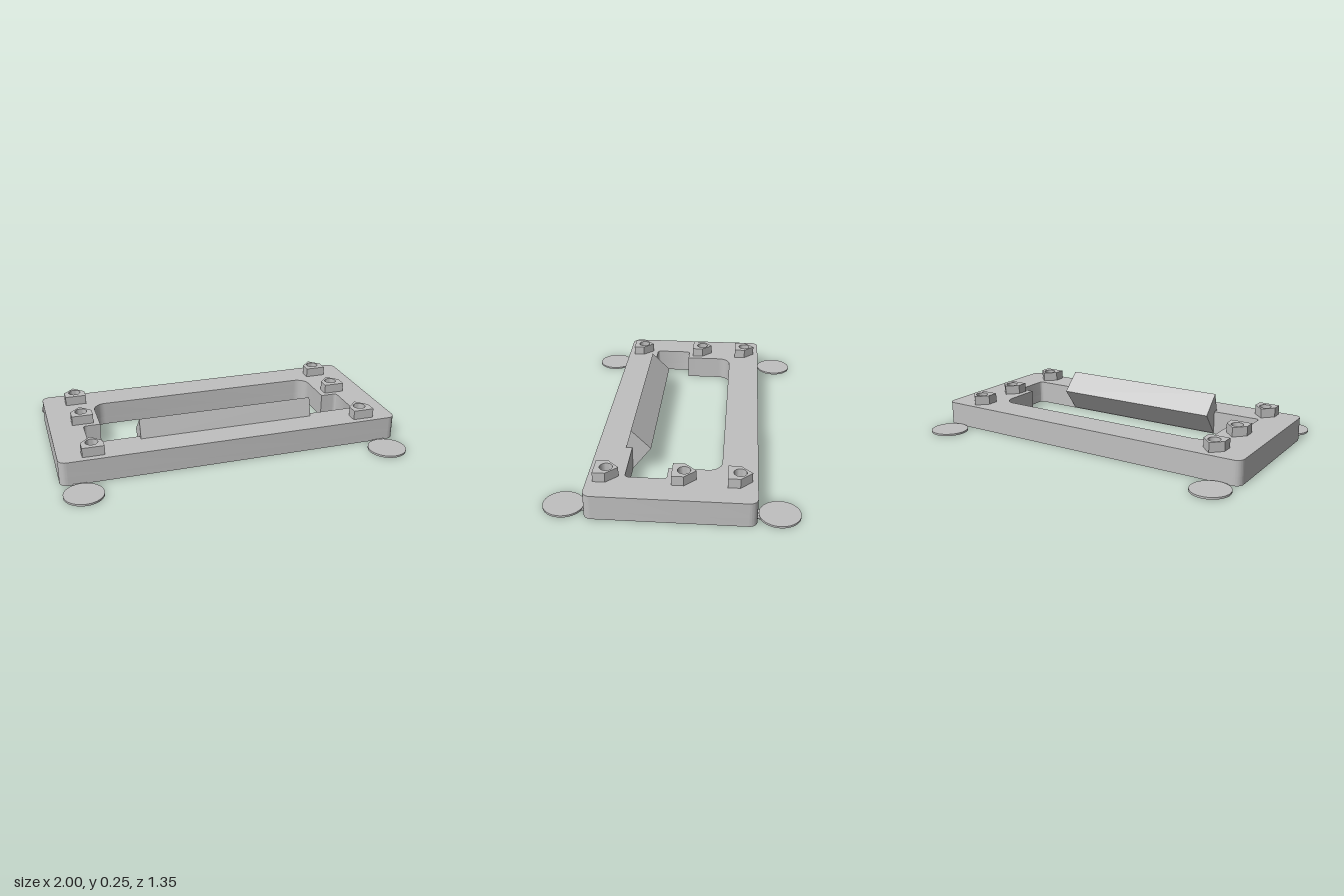
import * as THREE from 'three';
import { toCreasedNormals } from 'three/addons/utils/BufferGeometryUtils.js';

const FRAME_H = 0.14, SINK_H = 0.05, POST_H = 0.055;
const HOLE_R = 0.035, SINK_R = 0.065, SEGS = 8;
const HOLE_X = 0.805, HOLE_Z = [-0.355, -0.063, 0.347];

// Closed outline from [x, z, cornerRadius] points, with circular-looking corners
function roundedOutline(path, points) {
  const n = points.length, k = 0.5523;
  points.forEach(([x, z, r], i) => {
    const corner = new THREE.Vector2(x, -z);
    const towards = (j) => new THREE.Vector2(points[j][0], -points[j][1]).sub(corner).normalize();
    const a = towards((i + n - 1) % n), b = towards((i + 1) % n);
    const at = (d, s) => corner.clone().addScaledVector(d, s);
    const p0 = at(a, r), p3 = at(b, r);
    if (i === 0) path.moveTo(p0.x, p0.y); else path.lineTo(p0.x, p0.y);
    if (r > 0) {
      const p1 = at(a, r * (1 - k)), p2 = at(b, r * (1 - k));
      path.bezierCurveTo(p1.x, p1.y, p2.x, p2.y, p3.x, p3.y);
    }
  });
  path.closePath();
  return path;
}

function circleHole(x, z, r) {
  const hole = new THREE.Path();
  hole.absarc(x, -z, r, 0, Math.PI * 2, true);
  return hole;
}

// Extrude a plan shape upwards from height y
function extrudeUp(shape, y, height, curveSegments = SEGS) {
  const geo = new THREE.ExtrudeGeometry(shape, { depth: height, bevelEnabled: false, curveSegments });
  geo.rotateX(-Math.PI / 2).translate(0, y, 0);
  return toCreasedNormals(geo, 0.6);
}

// Frame plan: rounded rectangle, stepped window and screw holes
function framePlan(holeRadius) {
  const shape = roundedOutline(new THREE.Shape(), [
    [-1, -0.45, 0.045], [-1, 0.445, 0.045], [1, 0.445, 0.045], [1, -0.45, 0.045],
  ]);
  shape.holes.push(roundedOutline(new THREE.Path(), [
    [-0.708, -0.257, 0.075], [0.708, -0.257, 0.075], [0.708, 0.028, 0],
    [0.808, 0.028, 0.02], [0.808, 0.25, 0.02], [-0.808, 0.25, 0.02],
    [-0.808, 0.028, 0.02], [-0.708, 0.028, 0],
  ]));
  for (const side of [-1, 1])
    for (const z of HOLE_Z) shape.holes.push(circleHole(side * HOLE_X, z, holeRadius));
  return shape;
}

export function createModel() {
  const group = new THREE.Group();
  group.name = 'mountingBracket';
  const grey = new THREE.MeshStandardMaterial({ color: 0xc0c0c0 });
  grey.name = 'grey';
  const greyOpen = grey.clone();
  greyOpen.side = THREE.DoubleSide;

  const add = (name, geometry, material = grey) => {
    const mesh = new THREE.Mesh(geometry, material);
    mesh.name = name;
    group.add(mesh);
    return mesh;
  };

  // Frame: lower layer has the wide countersink mouths, upper layer the bores
  add('frameBase', extrudeUp(framePlan(SINK_R), 0, SINK_H, 12));
  add('frameTop', extrudeUp(framePlan(HOLE_R), SINK_H, FRAME_H - SINK_H, 12));

  // Pointed posts over each screw hole, with the countersink cones beneath
  const post = new THREE.Shape();
  [[-0.062, 0.063], [0.062, 0.063], [0.062, -0.003], [0, -0.065], [-0.062, -0.003]]
    .forEach(([x, z], i) => (i ? post.lineTo(x, -z) : post.moveTo(x, -z)));
  post.closePath();
  post.holes.push(circleHole(0, 0, HOLE_R));
  const postGeo = extrudeUp(post, FRAME_H, POST_H, 12);
  const sinkGeo = new THREE.LatheGeometry(
    [new THREE.Vector2(SINK_R, 0), new THREE.Vector2(HOLE_R, SINK_H)], 24);

  // Thin round corner pads joined by short necks
  const padGeo = new THREE.CylinderGeometry(0.11, 0.11, 0.011, 40).translate(0, 0.0055, 0);
  const neckGeo = new THREE.BoxGeometry(0.075, 0.006, 0.08).translate(0, 0.003, 0);

  for (const side of [-1, 1]) {
    for (const z of HOLE_Z) {
      add('screwPost', postGeo).position.set(side * HOLE_X, 0, z);
      add('countersink', sinkGeo, greyOpen).position.set(side * HOLE_X, 0, z);
    }
    for (const end of [-1, 1]) {
      add('cornerPad', padGeo).position.set(side * 0.89, 0, end * 0.566);
      add('padNeck', neckGeo).position.set(side * 0.895, 0, end * 0.46);
    }
  }

  // Wedge-shaped lip leaning into the window, with a sloping underside
  const lip = new THREE.Shape();
  [[0.285, FRAME_H], [0.255, 0.25], [0.145, FRAME_H], [0.25, 0.003]]
    .forEach(([z, y], i) => (i ? lip.lineTo(-z, y) : lip.moveTo(-z, y)));
  lip.closePath();
  const lipGeo = new THREE.ExtrudeGeometry(lip, { depth: 1.035, bevelEnabled: false });
  lipGeo.rotateY(Math.PI / 2).translate(-0.5185, 0, 0);
  add('wedgeLip', lipGeo);

  return group;
}
